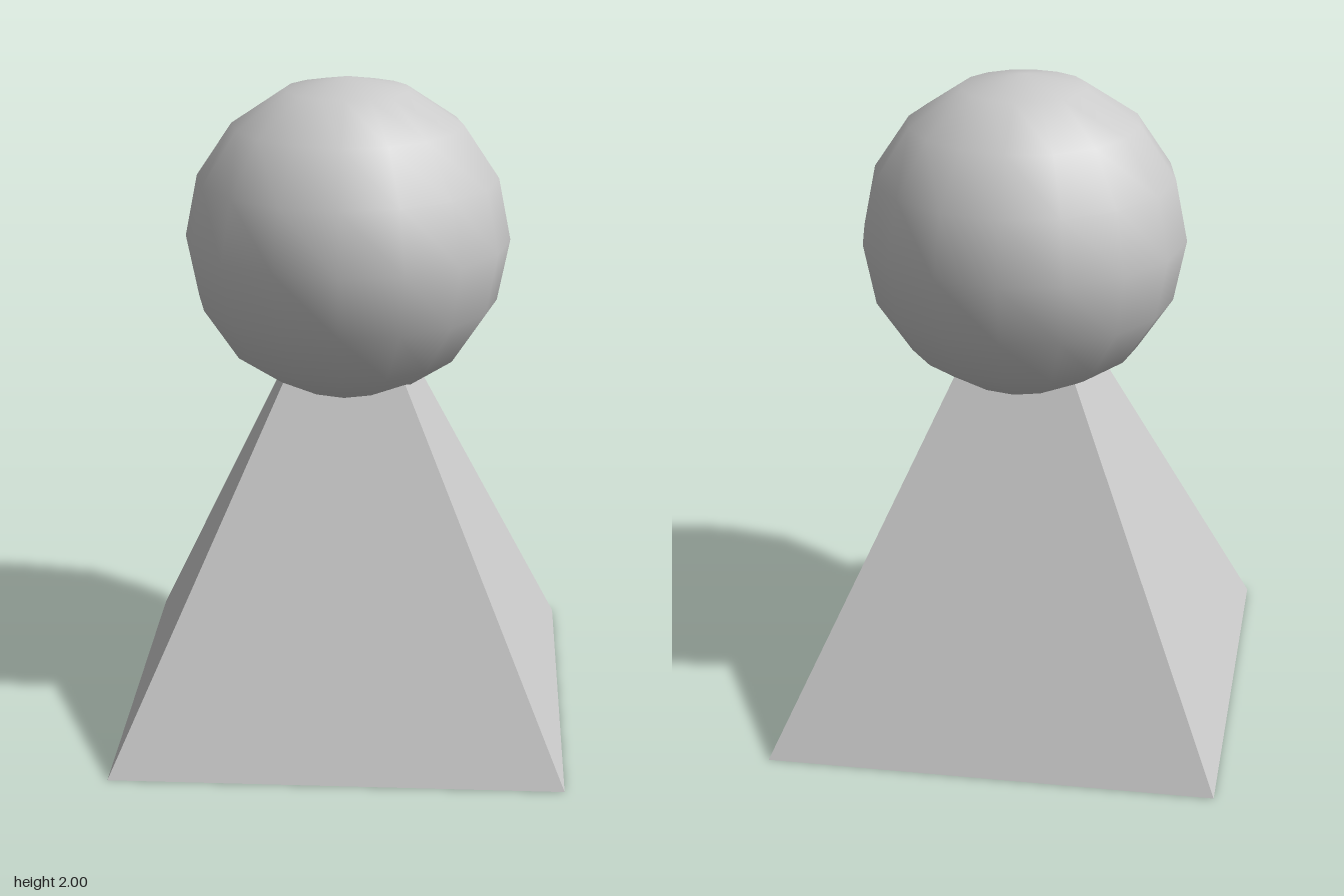
import * as THREE from 'three';

export function createModel() {
  const group = new THREE.Group();
  const apex = 1.505;
  const halfBase = 0.68;

  // four-sided pyramid body, its tip at the centre of the head
  const bodyGeometry = new THREE.ConeGeometry(halfBase * Math.SQRT2, apex, 4);
  bodyGeometry.rotateY(Math.PI / 4);
  const body = new THREE.Mesh(
    bodyGeometry,
    new THREE.MeshStandardMaterial({ color: 0xcccccc, flatShading: true })
  );
  body.name = 'pyramidBody';
  body.position.y = apex / 2;
  group.add(body);

  // smooth-shaded, low-poly ball head
  const head = new THREE.Mesh(
    new THREE.SphereGeometry(2 - apex, 16, 8),
    new THREE.MeshStandardMaterial({ color: 0xcccccc })
  );
  head.name = 'ballHead';
  head.position.y = apex;
  group.add(head);

  return group;
}
